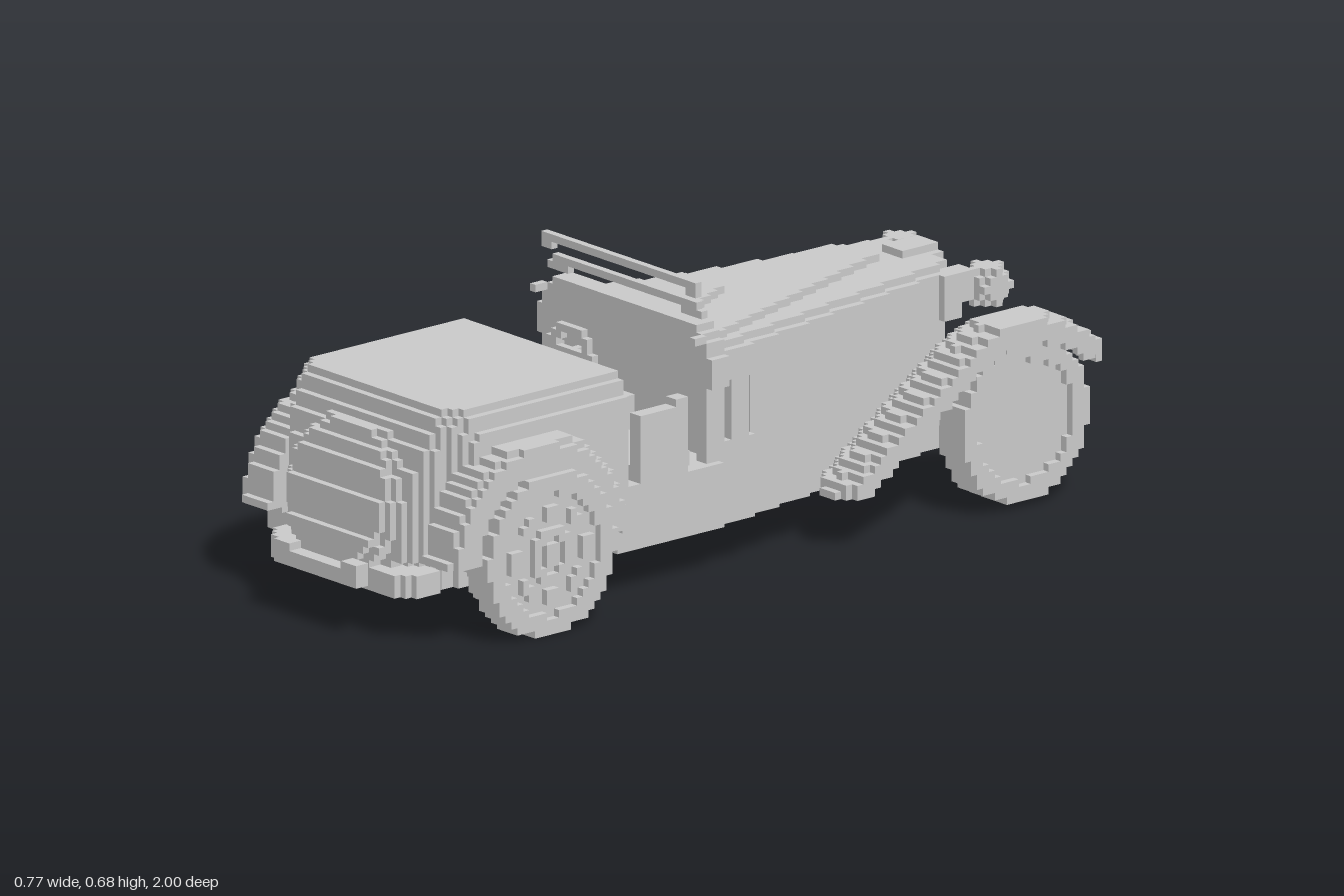
import * as THREE from 'three';

const S = 2 / 115; // edge length of one block
const material = new THREE.MeshStandardMaterial({ color: 0xcccccc, flatShading: true });

// Linear interpolation through [input, output] points
function curve(points, t) {
  if (t <= points[0][0]) return points[0][1];
  for (let i = 1; i < points.length; i++) {
    const [a, p] = points[i - 1], [b, q] = points[i];
    if (t <= b) return p + (q - p) * (t - a) / (b - a);
  }
  return points[points.length - 1][1];
}

// Skin of all blocks whose centre lies within bounds and satisfies the rule
function blocks(name, [x0, x1, y0, y1, z0, z1], rule = () => true) {
  const full = (c) => {
    const x = (c[0] + 0.5) * S, y = (c[1] + 0.5) * S, z = -1 + (c[2] + 0.5) * S;
    return x > x0 && x < x1 && y > y0 && y < y1 && z > z0 && z < z1 && rule(Math.abs(x), y, z);
  };
  const pos = [], index = [];
  const lo = [x0, y0, z0 + 1].map((v) => Math.floor(v / S));
  const hi = [x1, y1, z1 + 1].map((v) => Math.ceil(v / S));
  for (let i = lo[0]; i < hi[0]; i++) for (let j = lo[1]; j < hi[1]; j++) for (let k = lo[2]; k < hi[2]; k++) {
    const c = [i, j, k];
    if (!full(c)) continue;
    for (let a = 0; a < 3; a++) for (const side of [0, 1]) {
      const next = c.slice();
      next[a] += side ? 1 : -1;
      if (full(next)) continue;
      const n = pos.length / 3, u = (a + 1) % 3, v = (a + 2) % 3;
      for (const [du, dv] of [[0, 0], [1, 0], [1, 1], [0, 1]]) {
        const p = c.slice();
        p[a] += side; p[u] += du; p[v] += dv;
        pos.push(p[0] * S, p[1] * S, p[2] * S - 1);
      }
      index.push(...(side ? [n, n + 1, n + 2, n, n + 2, n + 3] : [n, n + 2, n + 1, n, n + 3, n + 2]));
    }
  }
  const geo = new THREE.BufferGeometry();
  geo.setAttribute('position', new THREE.Float32BufferAttribute(pos, 3));
  geo.setIndex(index);
  geo.computeVertexNormals();
  const mesh = new THREE.Mesh(geo, material);
  mesh.name = name;
  return mesh;
}

// Half width of the bonnet along its length
const hoodWidth = (z) => 0.28 + 0.18 * (z - 0.1);

// Bonnet: tapered, with a stepped crown and slots ahead of the doors
function hoodRule(x, y, z) {
  const w = hoodWidth(z);
  if (x > w) return false;
  const slot = (z > 0.005 && z < 0.045) || (z > -0.062 && z < -0.038);
  if (slot && y > 0.29 && y < 0.43) return false;
  let top = 0.522;
  if (x < 0.24 * (z + 0.66) / 0.72) top = 0.54;
  if (x < 0.14 * (z + 0.19) / 0.25) top = 0.557;
  if (x > w - 0.018) top = 0.505;
  return y < top;
}

// Rear body: flat deck, sloping tail, tucked-in lower edge and rounded corners
function tailRule(x, y, z) {
  const end = curve([[0.12, 0.92], [0.3, 0.91], [0.43, 0.875], [0.48, 0.85], [0.522, 0.825]], y);
  let w = y < 0.17 ? 0.25 : curve([[0.43, 0.295], [0.49, 0.28], [0.515, 0.262]], y);
  if (z > 0.78) w -= 0.8 * (z - 0.78);
  return x < w && z < end;
}

// Front mudguard: crowned over the wheel, falling inwards to the bonnet and sweeping down to the sill
const guardTop = [[-1, 0.34], [-0.95, 0.375], [-0.88, 0.42], [-0.82, 0.437], [-0.7, 0.437], [-0.62, 0.4], [-0.24, 0.14]];
function frontGuardRule(x, y, z) {
  const inner = curve([[-1, 0.29], [-0.96, 0.255], [-0.86, 0.16], [-0.74, 0.14], [-0.32, 0.205], [-0.24, 0.28]], z);
  const outer = curve([[-1, 0.335], [-0.95, 0.366], [-0.28, 0.366], [-0.24, 0.33]], z);
  if (x < inner || x > outer) return false;
  const top = curve(guardTop, z) - 0.04 * Math.pow(Math.abs(x - 0.3) / 0.08, 2) * (x < 0.3 ? 1 : 0.4);
  const thick = x > 0.348 ? 0.055 : 0.045;
  return y < top && y > Math.max(0.115, top - thick);
}

// Rear mudguard: arch around the wheel, trailing down behind it
function rearGuardRule(x, y, z) {
  const r = Math.hypot(z - 0.65, y - 0.19);
  const crown = x > 0.348 ? 0.012 : 0;
  if (y < 0.2) return z > 0.85 && z < 0.92;
  return r < 0.255 - crown && r > 0.18;
}

// Wheel with a recessed disc; the rear pair has a ring of studs and a hub
function wheelRule(cz, cy, radius, outer, studs) {
  return (x, y, z) => {
    const r = Math.hypot(y - cy, z - cz);
    if (r > radius) return false;
    if (r > 0.14 || x < outer - S) return true;
    if (!studs) return false;
    const a = Math.atan2(y - cy, z - cz);
    return r < 0.025 || (r > 0.04 && r < 0.06) || (r > 0.085 && r < 0.115 && Math.cos(8 * a) > 0);
  };
}

export function createModel() {
  const car = new THREE.Group();
  car.name = 'roadster';
  const add = (...args) => car.add(blocks(...args));
  // One part per side, given by its bounds on the +x side
  const pair = (name, [x0, x1, ...rest], rule) => {
    add(name + 'Left', [x0, x1, ...rest], rule);
    add(name + 'Right', [-x1, -x0, ...rest], rule);
  };

  // Body
  add('hood', [-0.3, 0.3, 0.105, 0.56, -0.715, 0.062], hoodRule);
  add('rearBody', [-0.3, 0.3, 0.105, 0.522, 0.345, 0.93], tailRule);
  add('cockpitFloor', [-0.3, 0.3, 0.105, 0.26, 0.06, 0.35], (x, y) => x < (y < 0.16 ? 0.27 : 0.29));
  add('frontLedge', [-0.245, 0.245, 0.105, 0.157, -0.845, -0.7]);
  add('radiatorCap', [-0.1, 0.1, 0.505, 0.54, -0.785, -0.68], (x, y, z) => (x < 0.055 || z > -0.76) && (y < 0.522 || x < 0.04));

  // Cowl, doors and cockpit
  add('cowl', [-0.3, 0.3, 0.43, 0.574, 0.045, 0.1],
    (x, y) => x < curve([[0.48, 0.295], [0.522, 0.28], [0.55, 0.25], [0.57, 0.23]], y));
  pair('cowlPost', [0.245, 0.28, 0.25, 0.44, 0.06, 0.1]);
  pair('door', [0.26, 0.29, 0.25, 0.44, 0.165, 0.3], (x, y, z) => y < (z < 0.2 ? 0.435 : 0.42));
  add('centreTunnel', [-0.04, 0.04, 0.25, 0.435, 0.1, 0.345], (x, y, z) => (z > 0.16 && z < 0.3) || y < 0.36);
  pair('seat', [0.05, 0.26, 0.25, 0.3, 0.13, 0.3]);
  add('steeringWheel', [-0.23, -0.07, 0.35, 0.5, 0.115, 0.135],
    (x, y) => { const r = Math.hypot(x - 0.15, y - 0.42); return (r < 0.075 && r > 0.05) || r < 0.02 || Math.abs(y - 0.42) < 0.01; });
  add('steeringColumn', [-0.16, -0.14, 0.41, 0.43, 0.09, 0.13]);

  // Folding windscreen rails and side mirrors
  add('upperScreenRail', [-0.263, 0.263, 0.643, 0.68, 0.095, 0.115], (x, y) => y > 0.66 || x > 0.228);
  add('lowerScreenRail', [-0.263, 0.263, 0.591, 0.627, 0.078, 0.098],
    (x, y) => (y > 0.609 ? x < 0.245 : x > 0.195));
  pair('mirror', [0.263, 0.28, 0.54, 0.557, 0.09, 0.13]);

  // Spare wheel leaning on the tail, stepped back with height
  add('spareWheel', [-0.18, 0.18, 0.12, 0.48, 0.8, 0.98], (x, y, z) => {
    const r = Math.hypot(x, y - 0.3);
    const face = curve([[0.14, 0.965], [0.25, 0.955], [0.36, 0.93], [0.45, 0.89], [0.48, 0.87]], y);
    return r < 0.18 && z < face - (r > 0.16 ? 0.02 : 0);
  });
  add('rearApron', [-0.245, 0.245, 0.105, 0.157, 0.85, 0.94], (x, y, z) => x < 0.245 - Math.max(0, z - 0.9));
  add('rearBumper', [-0.14, 0.14, 0.122, 0.174, 0.965, 1], (x, y) => y < 0.157 || x > 0.08);
  pair('bumperBracket', [0.07, 0.11, 0.122, 0.157, 0.93, 0.98]);

  // Mudguards and wheels
  pair('frontMudguard', [0.13, 0.366, 0.1, 0.45, -1, -0.235], frontGuardRule);
  pair('rearMudguard', [0.26, 0.366, 0.185, 0.435, 0.39, 0.925], rearGuardRule);
  pair('frontWheel', [0.25, 0.349, 0, 0.4, -0.98, -0.58],
    (x, y, z) => wheelRule(-0.78, 0.2, x > 0.263 ? 0.184 : 0.15, 0.349, false)(x, y, z));
  pair('rearWheel', [0.27, 0.384, 0, 0.42, 0.42, 0.87],
    (x, y, z) => wheelRule(0.635, 0.183, x > 0.315 ? 0.184 : 0.166, 0.384, true)(x, y, z));
  add('frontAxle', [-0.26, 0.26, 0.18, 0.22, -0.8, -0.76]);

  // Headlamps on brackets beside the radiator
  pair('headlamp', [0.09, 0.21, 0.4, 0.52, -0.9, -0.76],
    (x, y, z) => Math.hypot(x - 0.148, y - 0.46, z + 0.835) < 0.05);
  pair('headlampBracket', [0.11, 0.16, 0.4, 0.505, -0.8, -0.7], (x, y, z) => y > 0.43 || z > -0.76);

  return car;
}
